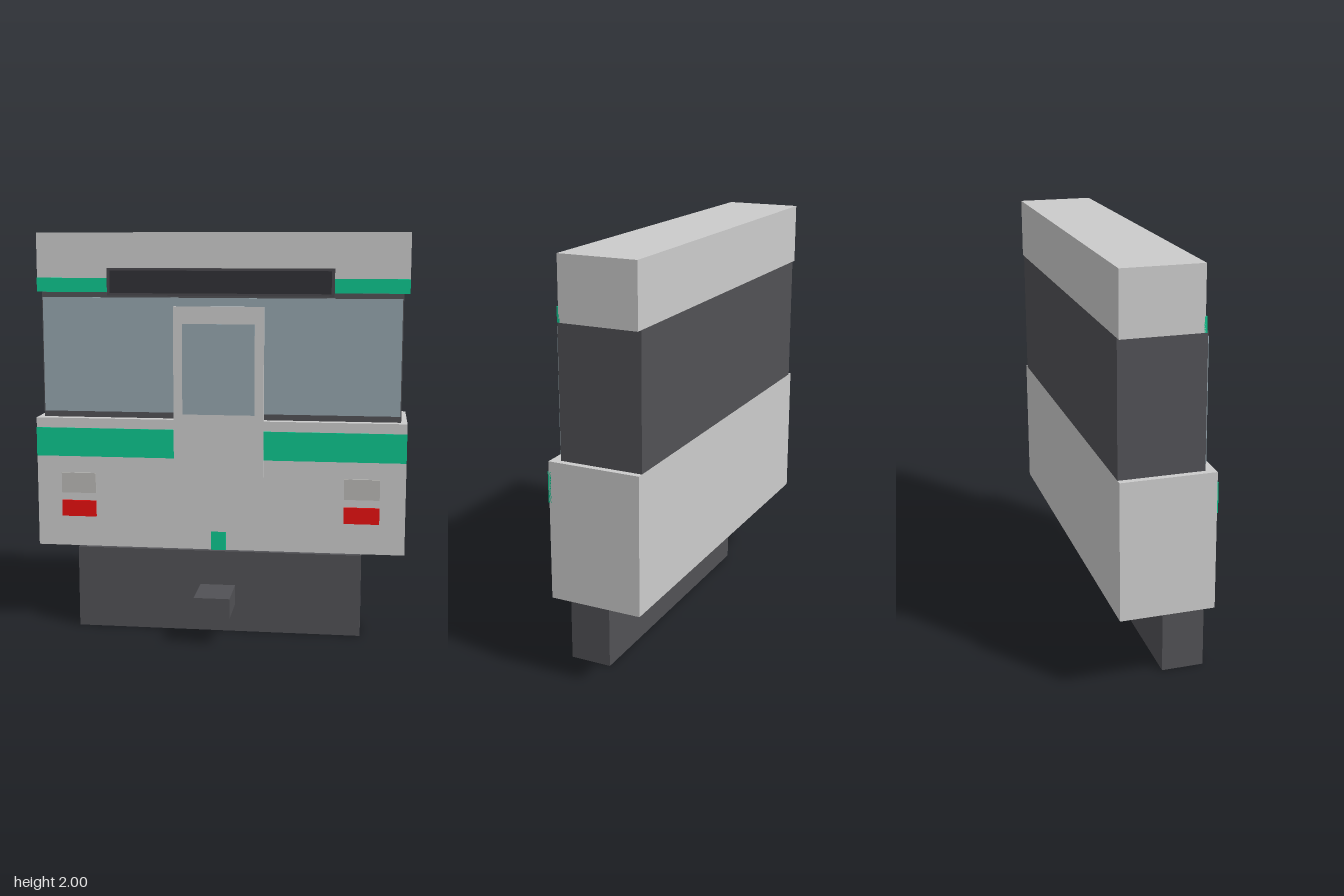
import * as THREE from 'three';

const mat = (color) => new THREE.MeshStandardMaterial({ color });

export function createModel() {
  const model = new THREE.Group();
  const grey = mat(0xcccccc), dark = mat(0x515155), glass = mat(0x95a5ad);
  const green = mat(0x0dc58e), red = mat(0xe81010), lamp = mat(0xb9b8b5);
  const frame = mat(0x48474c), panel = mat(0x303035);

  // Box given by its limits on each axis
  const box = (name, material, [x0, x1], [y0, y1], [z0, z1]) => {
    const mesh = new THREE.Mesh(new THREE.BoxGeometry(x1 - x0, y1 - y0, z1 - z0), material);
    mesh.position.set((x0 + x1) / 2, (y0 + y1) / 2, (z0 + z1) / 2);
    mesh.name = name;
    model.add(mesh);
  };
  const wide = (w) => [-w, w];

  // Main body blocks
  box('lowerBody', grey, wide(0.93), [0.415, 1.075], [-0.357, 0.09]);
  box('cabBand', dark, wide(0.9), [1.075, 1.705], [-0.357, 0.043]);
  box('roof', grey, wide(0.93), [1.705, 2], [-0.357, 0.02]);

  // Windscreen and roof stripe
  box('windscreen', glass, wide(0.895), [1.105, 1.68], [0.03, 0.048]);
  box('roofStripe', green, wide(0.93), [1.705, 1.775], [0.015, 0.027]);

  // Destination sign
  box('signFrame', frame, wide(0.565), [1.69, 1.825], [0.027, 0.053]);
  box('signPanel', panel, wide(0.55), [1.702, 1.813], [0.04, 0.056]);

  // Front door with its window, and the marker below it
  box('frontDoor', grey, wide(0.225), [0.51, 1.64], [0.078, 0.099]);
  box('doorWindow', glass, wide(0.18), [1.105, 1.555], [0.085, 0.102]);
  box('doorMarker', green, wide(0.037), [0.415, 0.51], [0.08, 0.097]);

  // Stripes and lamps on both sides
  for (const side of [-1, 1]) {
    const span = (a, b) => (side > 0 ? [a, b] : [-b, -a]);
    const prefix = side > 0 ? 'left' : 'right';
    box(prefix + 'Stripe', green, span(0.225, 0.93), [0.88, 1.025], [0.08, 0.095]);
    box(prefix + 'Headlamp', lamp, span(0.627, 0.803), [0.692, 0.795], [0.08, 0.1]);
    box(prefix + 'TailLamp', red, span(0.627, 0.803), [0.57, 0.652], [0.08, 0.1]);
  }

  // Undercarriage and coupler
  box('undercarriage', dark, wide(0.717), [0, 0.415], [-0.087, 0.118]);
  box('coupler', dark, wide(0.088), [0.14, 0.24], [0.118, 0.357]);

  return model;
}
